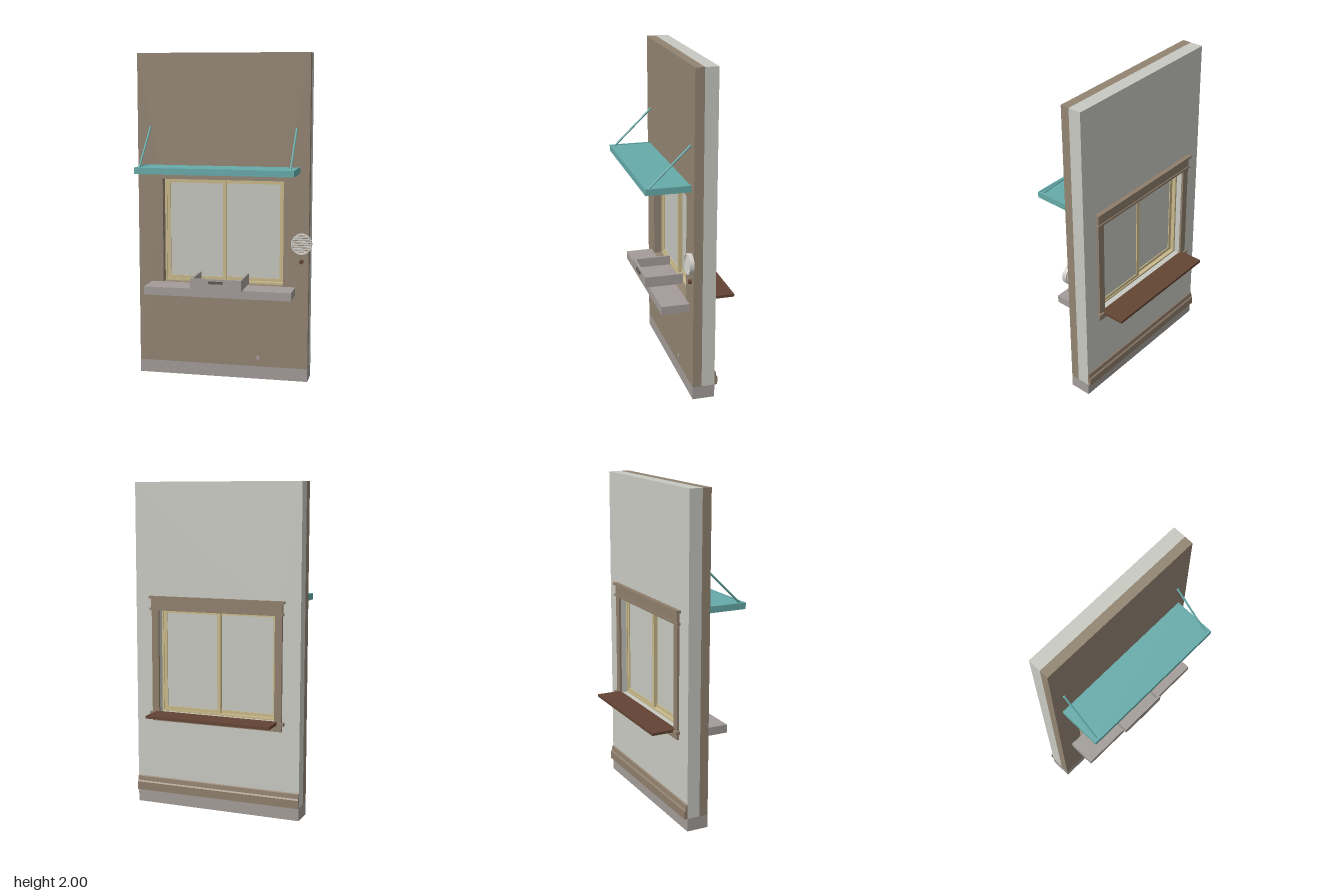
import * as THREE from 'three';

const mat = (name, color) => {
  const m = new THREE.MeshStandardMaterial({ color });
  m.name = name;
  return m;
};

export function createModel() {
  const root = new THREE.Group();
  root.name = 'serviceWindowWall';

  const cladding = mat('brown cladding', 0x928472);
  const plaster = mat('pale plaster', 0xc8c9c1);
  const glass = mat('pale glass', 0xc6c7bf);
  const metal = mat('grey metal', 0xa39c99);
  const cream = mat('cream frame', 0xc9b98a);
  const teal = mat('teal paint', 0x66abaa);
  const wood = mat('dark wood', 0x634433);
  const trim = mat('brown trim', 0x8f7e6c);
  const pale = mat('pale speaker', 0xd0cdc7);
  const dark = mat('dark detail', 0x5f5750);

  const add = (name, geo, material, parent = root) => {
    const m = new THREE.Mesh(geo, material);
    m.name = name;
    parent.add(m);
    return m;
  };
  // Box given by its limits on each axis
  const box = (name, material, x0, x1, y0, y1, z0, z1, parent = root) => {
    const m = add(name, new THREE.BoxGeometry(x1 - x0, y1 - y0, z1 - z0), material, parent);
    m.position.set((x0 + x1) / 2, (y0 + y1) / 2, (z0 + z1) / 2);
    return m;
  };
  const group = (name) => {
    const g = new THREE.Group();
    g.name = name;
    root.add(g);
    return g;
  };
  const rect = (C, x0, x1, y0, y1) => {
    const s = new C();
    s.moveTo(x0, y0);
    s.lineTo(x1, y0);
    s.lineTo(x1, y1);
    s.lineTo(x0, y1);
    s.closePath();
    return s;
  };
  // Flat panel with a rectangular opening
  const framed = (name, material, o, h, z0, z1, parent = root) => {
    const s = rect(THREE.Shape, ...o);
    s.holes.push(rect(THREE.Path, ...h));
    const g = new THREE.ExtrudeGeometry(s, { depth: z1 - z0, bevelEnabled: false });
    return add(name, g.translate(0, 0, z0), material, parent);
  };

  const CX = -0.0125;                       // middle of the wall
  const L = -0.545, R = 0.52;               // wall ends
  const opening = [-0.39, 0.365, 0.59, 1.235];

  // Wall layers and plinth
  framed('outerWall', cladding, [L, R, 0.08, 2], opening, -0.04, 0.015);
  framed('innerWall', plaster, [L, R, 0.08, 2], opening, -0.12, -0.04);
  box('plinth', metal, L, R, 0, 0.08, -0.12, 0.015);

  // Baseboard with a sloping top, on the inside
  const profile = new THREE.Shape([
    [0.12, 0.08], [0.138, 0.08], [0.138, 0.13], [0.13, 0.138], [0.127, 0.165], [0.12, 0.17],
  ].map(([x, y]) => new THREE.Vector2(x, y)));
  const board = new THREE.ExtrudeGeometry(profile, { depth: R - L, bevelEnabled: false });
  add('baseboard', board.rotateY(Math.PI / 2).translate(L, 0, 0), trim);

  // Sliding window: outer frame and two sashes
  const win = group('window');
  framed('windowFrame', cream, opening, [-0.378, 0.353, 0.602, 1.223], -0.085, -0.035, win);
  const sash = (x0, x1, z) => {
    framed('sash', cream, [x0, x1, 0.602, 1.223], [x0 + 0.022, x1 - 0.022, 0.622, 1.207], z, z + 0.018, win);
    box('pane', glass, x0 + 0.022, x1 - 0.022, 0.622, 1.207, z + 0.006, z + 0.012, win);
  };
  sash(-0.378, -0.001, -0.06);
  sash(-0.025, 0.353, -0.08);

  // Interior casing, head moulding, stool and apron
  const casing = group('interiorCasing');
  for (const [x0, x1] of [[-0.435, -0.39], [0.365, 0.41]])
    box('sideCasing', trim, x0, x1, 0.592, 1.235, -0.134, -0.12, casing);
  box('headCasing', trim, -0.437, 0.412, 1.235, 1.297, -0.136, -0.12, casing);
  box('headFillet', trim, -0.445, 0.42, 1.226, 1.24, -0.142, -0.12, casing);
  box('headCap', trim, -0.45, 0.425, 1.297, 1.312, -0.148, -0.12, casing);
  box('stool', trim, -0.45, 0.425, 0.572, 0.592, -0.146, -0.12, casing);
  box('apron', trim, -0.435, 0.41, 0.535, 0.572, -0.132, -0.12, casing);

  // Interior counter
  box('counter', wood, -0.41, 0.385, 0.578, 0.595, -0.28, -0.122);

  // Exterior shelf with a pulled-out tray
  box('shelf', metal, -0.465, 0.44, 0.54, 0.59, 0.015, 0.185);
  const tray = group('tray');
  box('trayFloor', metal, -0.17, 0.145, 0.59, 0.597, -0.03, 0.2, tray);
  box('trayFront', metal, -0.17, 0.145, 0.59, 0.657, 0.195, 0.21, tray);
  for (const x of [-0.17, 0.131])
    box('traySide', metal, x, x + 0.014, 0.59, 0.655, -0.03, 0.195, tray);
  box('trayHandle', dark, -0.055, 0.03, 0.63, 0.645, 0.21, 0.219, tray);

  // Canopy with a raised rim and two stay rods
  const canopy = group('canopy');
  box('canopyPanel', teal, -0.48, 0.455, 1.29, 1.321, 0.015, 0.27, canopy);
  box('canopyFrontRim', teal, -0.49, 0.465, 1.287, 1.325, 0.27, 0.28, canopy);
  for (const x of [-0.49, 0.455])
    box('canopySideRim', teal, x, x + 0.01, 1.287, 1.325, 0.015, 0.27, canopy);
  box('canopyUnderside', teal, -0.2, 0.175, 1.282, 1.29, 0.1, 0.22, canopy);
  for (const s of [-1, 1]) {
    const x = CX + s * 0.4525;
    const rod = new THREE.LineCurve3(
      new THREE.Vector3(x, 1.32, 0.255), new THREE.Vector3(x, 1.548, 0.018));
    add('stayRod', new THREE.TubeGeometry(rod, 1, 0.006, 10), teal, canopy);
    for (const p of [rod.v1, rod.v2])
      add('rodEnd', new THREE.SphereGeometry(0.008, 12, 8), teal, canopy).position.copy(p);
  }

  // Round speaker: ring with horizontal slats
  const speaker = group('speaker');
  speaker.position.set(0.478, 0.86, 0);
  const ring = new THREE.Shape().absarc(0, 0, 0.063, 0, Math.PI * 2);
  ring.holes.push(new THREE.Path().absarc(0, 0, 0.056, 0, Math.PI * 2, true));
  const ringGeo = new THREE.ExtrudeGeometry(ring, { depth: 0.028, bevelEnabled: false, curveSegments: 32 });
  add('speakerRing', ringGeo.translate(0, 0, 0.015), pale, speaker);
  for (let i = -3; i <= 3; i++) {
    const y = i * 0.0145, w = Math.sqrt(0.058 ** 2 - y * y);
    box('speakerSlat', pale, -w, w, y - 0.0042, y + 0.0042, 0.028, 0.038, speaker);
  }

  // Call button
  const button = add('callButton', new THREE.CylinderGeometry(0.013, 0.013, 0.018, 20), wood);
  button.rotation.x = Math.PI / 2;
  button.position.set(0.477, 0.75, 0.024);

  // Small cap low on the outer wall
  const cap = add('wallCap', new THREE.CylinderGeometry(0.013, 0.013, 0.006, 16), metal);
  cap.rotation.x = Math.PI / 2;
  cap.position.set(0.212, 0.135, 0.016);

  return root;
}
